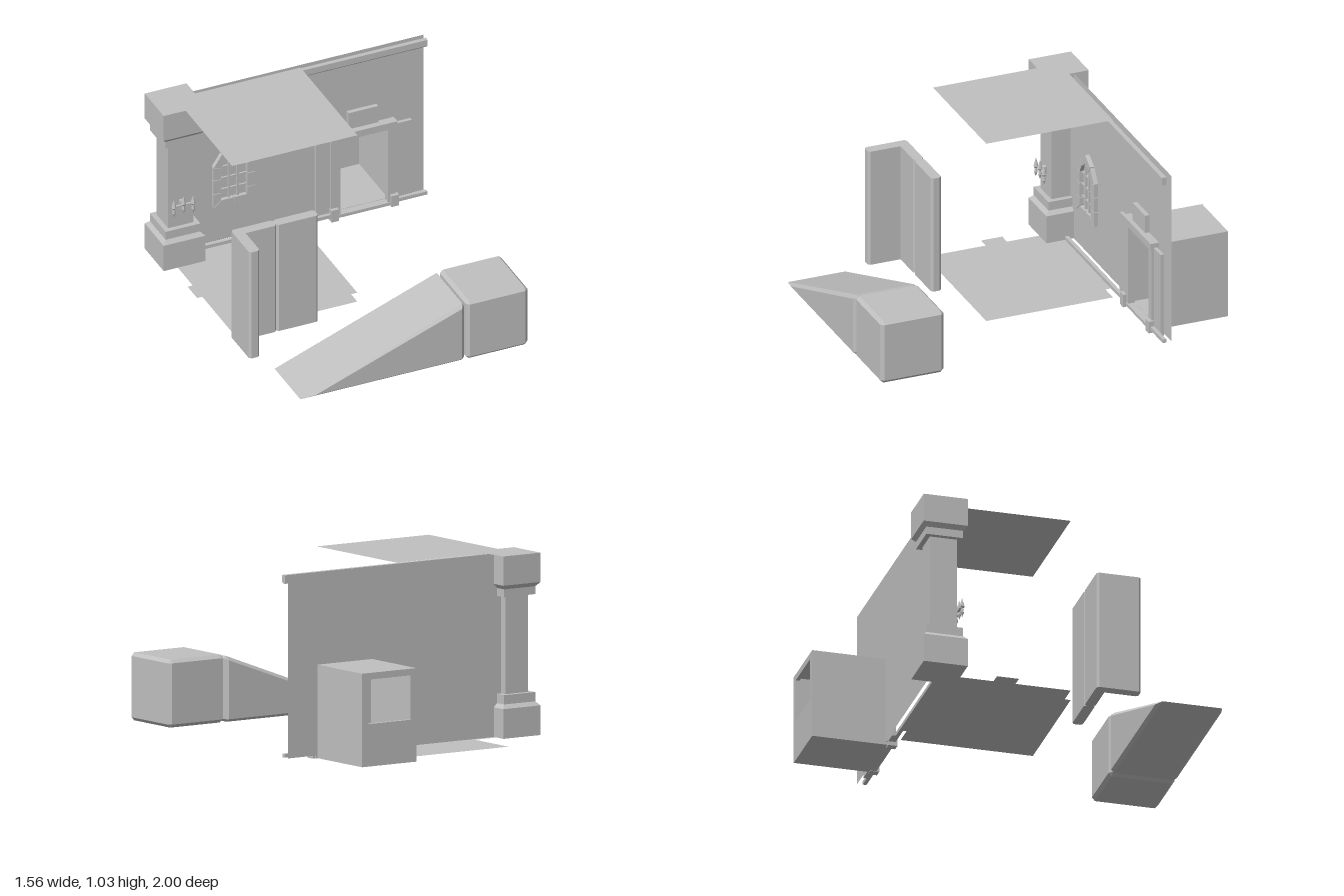
import * as THREE from 'three';
import { ConvexGeometry } from 'three/addons/geometries/ConvexGeometry.js';

export function createModel() {
  const root = new THREE.Group();
  const stone = new THREE.MeshStandardMaterial({ color: 0xc0c0c0, flatShading: true, side: THREE.DoubleSide });
  stone.name = 'plain grey';

  const add = (name, geo, parent = root) => {
    const m = new THREE.Mesh(geo, stone);
    m.name = name;
    parent.add(m);
    return m;
  };
  const group = (name) => {
    const g = new THREE.Group();
    g.name = name;
    root.add(g);
    return g;
  };
  // Box given by its limits
  const box = (name, x0, x1, y0, y1, z0, z1, parent) => {
    const g = new THREE.BoxGeometry(x1 - x0, y1 - y0, z1 - z0);
    g.translate((x0 + x1) / 2, (y0 + y1) / 2, (z0 + z1) / 2);
    return add(name, g, parent);
  };
  const poly = (pts) => new THREE.Shape(pts.map(([x, y]) => new THREE.Vector2(x, y)));
  const rect = (x0, x1, y0, y1) => [[x0, y0], [x1, y0], [x1, y1], [x0, y1]];
  const extrude = (shape, depth) => new THREE.ExtrudeGeometry(shape, { depth, bevelEnabled: false });
  // Horizontal sheet from an outline in x and z
  const sheet = (name, pts, y) => {
    const g = new THREE.ShapeGeometry(poly(pts.map(([x, z]) => [x, -z])));
    g.rotateX(-Math.PI / 2);
    g.translate(0, y, 0);
    return add(name, g);
  };
  const hull = (pts) => new ConvexGeometry(pts.map((p) => new THREE.Vector3(...p)));

  // Floor and ceiling sheets
  sheet('groundSheet', rect(-0.66, 0.06, -0.57, 0.15), 0);
  sheet('floorSheet', [[-0.66, -0.57], [0.06, -0.57], [0.06, 0.15], [-0.66, 0.15],
    [-0.66, -0.15], [-0.725, -0.15], [-0.725, -0.27], [-0.66, -0.27]], 0.055);
  sheet('ceilingSheet', rect(-0.66, 0.06, -0.57, 0.15), 1.035);

  // Back wall with the doorway cut out
  const wall = poly(rect(-0.66, 0.78, 0.065, 1.03));
  wall.holes.push(poly(rect(0.285, 0.56, 0.07, 0.515)));
  add('backWall', new THREE.ShapeGeometry(wall)).position.z = -0.6;

  // Cornice and skirting running along the wall
  const cornice = hull([-0.62, 0.78].flatMap((x) => [
    [x, 1.03, -0.57], [x, 1.03, -0.545], [x, 0.994, -0.545], [x, 0.985, -0.553], [x, 0.985, -0.57]]));
  add('cornice', cornice);
  box('skirtingLeft', -0.62, 0.23, 0.065, 0.085, -0.57, -0.55);
  box('skirtingRight', 0.61, 0.78, 0.065, 0.085, -0.57, -0.55);

  // Column: stacked square tiers [name, y0, y1, half width at y0, half width at y1]
  const column = group('column');
  [['base', 0.065, 0.222, 0.12, 0.12], ['baseSlope', 0.222, 0.243, 0.12, 0.1],
    ['baseStep', 0.243, 0.292, 0.1, 0.1], ['shaft', 0.292, 0.81, 0.073, 0.073],
    ['neck', 0.81, 0.855, 0.1, 0.1], ['capitalSlope', 0.852, 0.875, 0.1, 0.12],
    ['capital', 0.875, 1.03, 0.12, 0.12]].forEach(([name, y0, y1, r0, r1]) => {
    const g = new THREE.CylinderGeometry(r1 * Math.SQRT2, r0 * Math.SQRT2, y1 - y0, 4);
    g.rotateY(Math.PI / 4);
    g.translate(-0.663, (y0 + y1) / 2, -0.565);
    add(name, g, column);
  });

  // Three-armed wall light on the column
  const light = group('wallLight');
  box('lightBar', -0.725, -0.6, 0.425, 0.437, -0.472, -0.46, light);
  box('lightBracket', -0.675, -0.65, 0.405, 0.455, -0.492, -0.47, light);
  const spindle = [[0, -0.05], [0.01, -0.025], [0.006, 0], [0.014, 0.01], [0.009, 0.03], [0, 0.06]]
    .map(([r, y]) => new THREE.Vector2(r, y));
  [-0.718, -0.663, -0.608].forEach((x, i) => {
    const m = add('lightSpindle', new THREE.LatheGeometry(spindle, 6), light);
    m.position.set(x, i === 1 ? 0.435 : 0.425, -0.458);
  });

  // Pointed window: surround blocks, pane and bars
  const win = group('archedWindow');
  const outer = [[0.12, 0.29], [0.12, 0.375], [0.12, 0.46], [0.12, 0.54], [0.07, 0.615], [0, 0.66]];
  const inner = [[0.075, 0.33], [0.075, 0.375], [0.075, 0.46], [0.075, 0.525], [0.045, 0.575], [0, 0.605]];
  const wx = -0.32;
  const block = (corners) => {
    const cx = corners.reduce((s, p) => s + p[0], 0) / 4;
    const cy = corners.reduce((s, p) => s + p[1], 0) / 4;
    const pts = corners.map(([x, y]) => [wx + cx + (x - cx) * 0.96, cy + (y - cy) * 0.96]);
    add('surroundBlock', extrude(poly(pts), 0.024), win).position.z = -0.594;
  };
  for (const s of [1, -1]) {
    for (let i = 0; i < 5; i++) {
      block([outer[i], outer[i + 1], inner[i + 1], inner[i]].map(([x, y]) => [s * x, y]));
    }
    block([[0, 0.29], [0.12, 0.29], [0.075, 0.33], [0, 0.33]].map(([x, y]) => [s * x, y]));
  }
  const pane = [...inner, ...inner.slice(0, 5).reverse().map(([x, y]) => [-x, y])].map(([x, y]) => [wx + x, y]);
  add('pane', extrude(poly(pane), 0.004), win).position.z = -0.596;
  for (const x of [-0.025, 0.025]) box('uprightBar', wx + x - 0.005, wx + x + 0.005, 0.33, 0.585, -0.592, -0.58, win);
  for (const y of [0.385, 0.455, 0.525]) box('crossBar', wx - 0.075, wx + 0.075, y - 0.005, y + 0.005, -0.592, -0.582, win);

  // Door surround
  const door = group('doorSurround');
  box('sidePanelLeft', 0.61, 0.70, 0.065, 0.54, -0.59, -0.57, door);
  box('sidePanelRight', 0.15, 0.23, 0.065, 0.54, -0.59, -0.57, door);
  box('postRight', 0.23, 0.285, 0.065, 0.53, -0.6, -0.56, door);
  box('postLeft', 0.56, 0.605, 0.065, 0.53, -0.6, -0.56, door);
  box('lintel', 0.23, 0.61, 0.525, 0.565, -0.6, -0.552, door);
  box('threshold', 0.25, 0.60, 0.05, 0.068, -0.6, -0.556, door);
  box('footRight', 0.225, 0.268, 0.043, 0.115, -0.59, -0.54, door);
  box('footLeft', 0.57, 0.614, 0.048, 0.115, -0.59, -0.54, door);
  box('signPlate', 0.335, 0.505, 0.58, 0.68, -0.59, -0.565, door);

  // Entrance chamber behind the door, open to the front, with a window at the back
  const room = group('entranceChamber');
  const t = 0.006;
  box('chamberFloor', 0.24, 0.59, 0.05, 0.05 + t, -1, -0.59, room);
  box('chamberRoof', 0.24, 0.59, 0.545 - t, 0.545, -1, -0.59, room);
  box('chamberSideRight', 0.24, 0.24 + t, 0.05, 0.545, -1, -0.59, room);
  box('chamberSideLeft', 0.59 - t, 0.59, 0.05, 0.545, -1, -0.59, room);
  const back = poly(rect(0.24, 0.59, 0.05, 0.545));
  back.holes.push(poly(rect(0.28, 0.552, 0.275, 0.51)));
  add('chamberBack', extrude(back, 0.02), room).position.z = -1;

  // Corner partition: an L-shaped piece and a straight piece, with chamfered upright edges
  const partition = group('cornerPartition');
  const upright = (name, pts) => {
    const g = extrude(poly(pts.map(([x, z]) => [x, -z])), 0.66);
    g.rotateX(-Math.PI / 2);
    g.translate(0, 0.065, 0);
    add(name, g, partition);
  };
  const c = 0.012;
  upright('cornerPanel', [[-0.725 + c, 0.275], [-0.485 - c, 0.275], [-0.485, 0.275 + c], [-0.485, 0.332 - c],
    [-0.485 - c, 0.332], [-0.665, 0.332], [-0.665, 0.515 - c], [-0.665 - c, 0.515],
    [-0.725 + c, 0.515], [-0.725, 0.515 - c], [-0.725, 0.275 + c]]);
  upright('straightPanel', [[-0.485 + c, 0.275], [-0.245 - c, 0.275], [-0.245, 0.275 + c], [-0.245, 0.332 - c],
    [-0.245 - c, 0.332], [-0.485 + c, 0.332], [-0.485, 0.332 - c], [-0.485, 0.275 + c]]);

  // Chamfered block
  const b = 0.018;
  const blockPts = [];
  for (const x of [-1, 1]) for (const y of [-1, 1]) for (const z of [-1, 1]) {
    const p = [0.4825 + x * 0.1775, 0.245 + y * 0.18, 0.8175 + z * 0.18];
    const q = [x * b, y * b, z * b];
    for (let k = 0; k < 3; k++) blockPts.push(p.map((v, i) => (i === k ? v : v - q[i])));
  }
  add('chamferedBlock', hull(blockPts));

  // Wedge ramp with chamfered edges
  const edge = [[-0.645, 0.065], [0.28, 0.065], [0.296, 0.08], [0.296, 0.4], [0.286, 0.415]];
  const cap = [[-0.565, 0.08], [0.278, 0.08], [0.278, 0.392]];
  add('wedgeRamp', hull([
    ...edge.flatMap(([x, y]) => [[x, y, 0.6375 + b], [x, y, 0.9975 - b]]),
    ...cap.flatMap(([x, y]) => [[x, y, 0.6375], [x, y, 0.9975]])]));

  return root;
}
